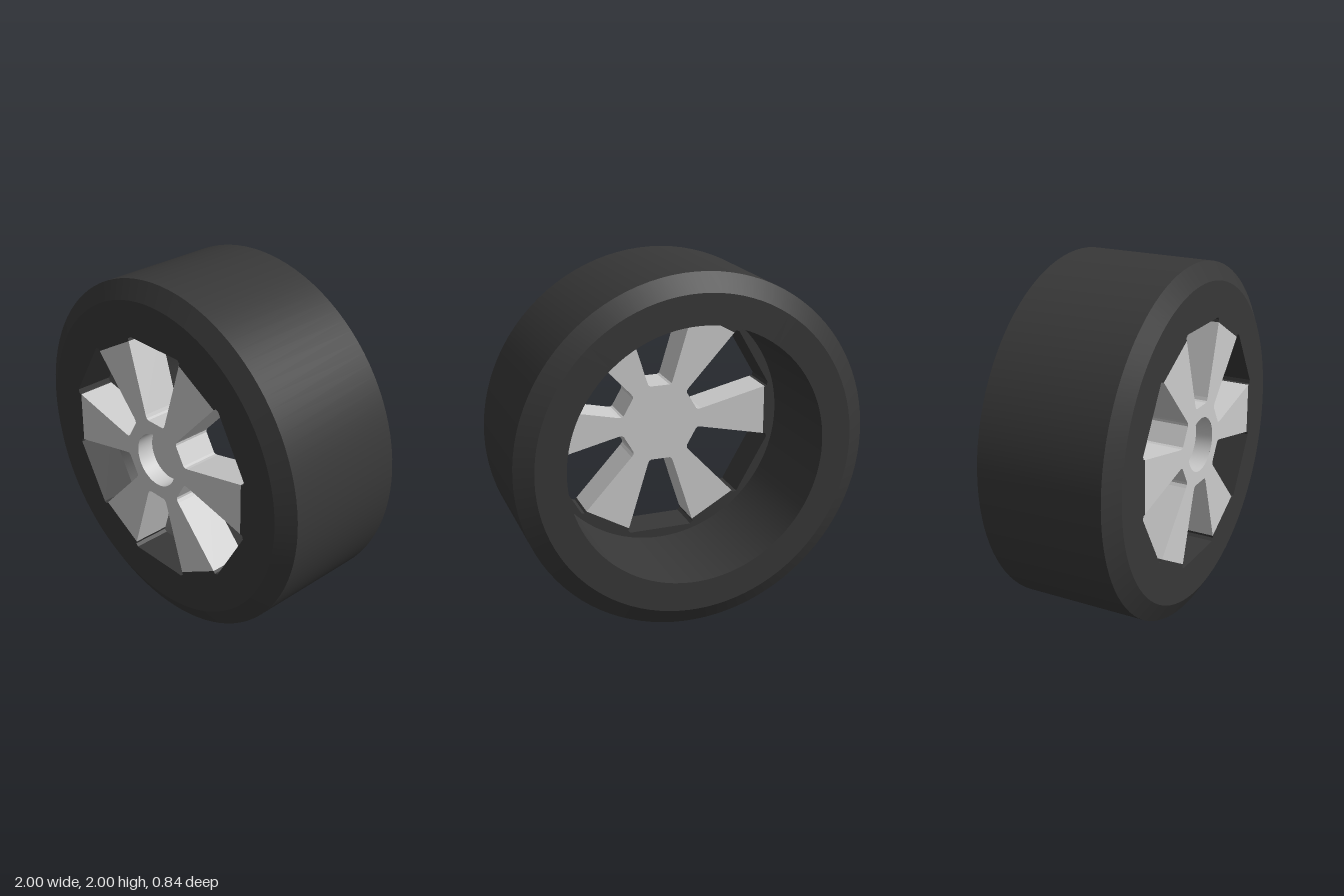
import * as THREE from 'three';
import { mergeGeometries, toCreasedNormals } from 'three/addons/utils/BufferGeometryUtils.js';

const FRONT = 0.42, PLATE_BACK = 0.2, BACK = -0.42;
const SPOKES = 6;

// Half outlines of the top window, right side: outer edge and hub-side notch
const RIM_EDGE = [[0.19, 0.675], [0.205, 0.66], [0.2, 0.645]];
const NOTCH = [[0.058, 0.225], [0.07, 0.232], [0.078, 0.25], [0.2, 0.645]];

// Mirror a half outline into a full one running from left to right
function mirrored(half) {
  return [...half.map(([x, y]) => [-x, y]).reverse(), ...half].map(([x, y]) => new THREE.Vector2(x, y));
}

// The same outline repeated clockwise around the axle
function repeated(outline) {
  return Array.from({ length: SPOKES }, (_, k) =>
    outline.map((p) => p.clone().rotateAround(new THREE.Vector2(), (-k * Math.PI * 2) / SPOKES)));
}

// Flat walls along a path, facing the right-hand side of travel
function wall(points, z0, z1) {
  const pos = [];
  for (let i = 0; i < points.length - 1; i++) {
    const a = points[i], b = points[i + 1];
    pos.push(a.x, a.y, z1, a.x, a.y, z0, b.x, b.y, z0);
    pos.push(a.x, a.y, z1, b.x, b.y, z0, b.x, b.y, z1);
  }
  const g = new THREE.BufferGeometry();
  g.setAttribute('position', new THREE.Float32BufferAttribute(pos, 3));
  g.computeVertexNormals();
  return g;
}

// Flat face at depth z, turned to the back when asked
function face(shape, z, back = false) {
  const g = new THREE.ShapeGeometry(shape, 48);
  if (back) g.rotateY(Math.PI);
  return g.translate(0, 0, z);
}

// Turned surface around the z axis from [radius, z] pairs
function turned(profile, segments) {
  const g = new THREE.LatheGeometry(profile.map(([r, z]) => new THREE.Vector2(r, z)), segments);
  return toCreasedNormals(g.rotateX(Math.PI / 2), 0.4);
}

function disc(radius, hole) {
  const s = new THREE.Shape().absarc(0, 0, radius, 0, Math.PI * 2, false);
  s.holes.push(hole);
  return s;
}

function merge(list) {
  return mergeGeometries(list.map((g) => {
    const n = g.index ? g.toNonIndexed() : g;
    n.deleteAttribute('uv');
    return n;
  }));
}

export function createModel() {
  const group = new THREE.Group();
  const rubber = new THREE.MeshStandardMaterial({ color: 0x383838 });
  const metal = new THREE.MeshStandardMaterial({ color: 0xcccccc });

  const add = (name, geometry, material) => {
    const mesh = new THREE.Mesh(geometry, material);
    mesh.name = name;
    mesh.position.y = 1;
    group.add(mesh);
  };

  // Tire: deep barrel behind, chamfered tread outside
  add('tire', turned([
    [0.73, PLATE_BACK], [0.73, BACK], [0.9, BACK], [1, -0.36], [1, 0.36], [0.9, FRONT],
  ], 96), rubber);

  // Front sidewall: a thick ring with a faceted opening
  const rims = repeated(mirrored(RIM_EDGE));
  const opening = new THREE.Path(rims.flat());
  add('sidewall', merge([
    face(disc(0.9, opening), FRONT),
    face(disc(0.73, opening), PLATE_BACK, true),
    ...rims.map((r) => wall(r, PLATE_BACK, FRONT)),
  ]), rubber);

  // Six flared spokes and the hub, cut from one plate
  const notches = repeated(mirrored(NOTCH));
  const star = new THREE.Shape(notches.flat());
  const starWithBore = new THREE.Shape(notches.flat());
  starWithBore.holes.push(new THREE.Path().absarc(0, 0, 0.153, 0, Math.PI * 2, false));
  add('spokes', merge([
    face(starWithBore, FRONT),
    face(star, PLATE_BACK, true),
    ...notches.map((n) => wall([...n].reverse(), PLATE_BACK, FRONT)),
  ]), metal);

  // Round recess in the hub
  add('hubRecess', turned([[0.153, FRONT], [0.153, 0.32], [0, 0.32]], 48), metal);

  return group;
}
